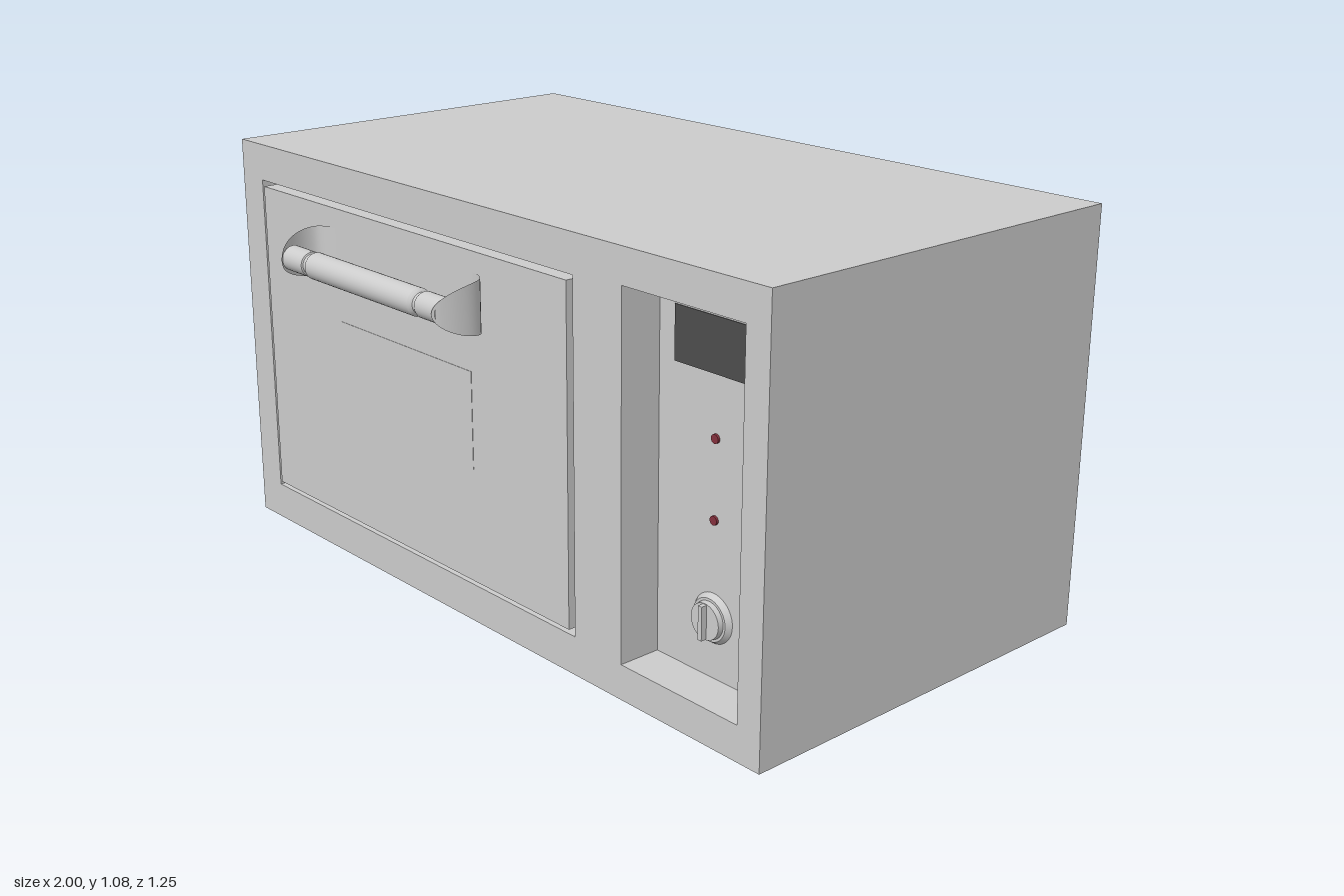
import * as THREE from 'three';

const mat = (color = 0xcccccc, side = THREE.FrontSide) => new THREE.MeshStandardMaterial({ color, side });
const grey = mat();

function add(parent, name, geometry, material = grey) {
  const mesh = new THREE.Mesh(geometry, material);
  mesh.name = name;
  parent.add(mesh);
  return mesh;
}

// Box given by its limits on each axis
function block(x0, x1, y0, y1, z0, z1) {
  return new THREE.BoxGeometry(x1 - x0, y1 - y0, z1 - z0)
    .translate((x0 + x1) / 2, (y0 + y1) / 2, (z0 + z1) / 2);
}

function rectangle(target, x0, x1, y0, y1) {
  target.moveTo(x0, y0).lineTo(x1, y0).lineTo(x1, y1).lineTo(x0, y1).closePath();
  return target;
}

// Disc or lathe whose axis points to the front
const forward = (geometry, x, y, z) => geometry.rotateX(Math.PI / 2).translate(x, y, z);

// Thin bowed sheet with a semi-elliptical outline, foot against the door
function bracketGeometry(centreX, side, y, z0, reach, halfHeight) {
  const bow = new THREE.CatmullRomCurve3([
    [0.29, 0], [0.318, 0.004], [0.345, 0.02], [0.354, 0.05], [0.349, 0.09], [0.335, 0.125], [0.322, reach],
  ].map(([x, z]) => new THREE.Vector3(x, 0, z)));
  const rows = 32, cols = 2;
  const geometry = new THREE.PlaneGeometry(1, 1, cols, rows);
  const pos = geometry.attributes.position;
  for (let i = 0; i < pos.count; i++) {
    const u = pos.getY(i) + 0.5;
    const p = bow.getPoint(Math.sin(u * Math.PI / 2));
    const t = Math.min(1, Math.max(0, p.z / reach));
    const h = halfHeight * Math.sqrt(1 - t * t);
    pos.setXYZ(i, centreX + side * p.x, y + pos.getX(i) * 2 * h, z0 + p.z);
  }
  geometry.computeVertexNormals();
  return geometry;
}

export function createModel() {
  const group = new THREE.Group();
  group.name = 'microwaveOven';
  const front = 0.475, recess = 0.362;

  // Cabinet and front frame with openings for the door and control panel
  add(group, 'cabinet', block(-1, 1, 0, 1.08, -0.625, recess));
  const frame = rectangle(new THREE.Shape(), -1, 1, 0, 1.08);
  frame.holes.push(
    rectangle(new THREE.Path(), -0.905, 0.392, 0.1, 0.982),
    rectangle(new THREE.Path(), 0.555, 0.93, 0.09, 0.992),
  );
  add(group, 'frontFrame', new THREE.ExtrudeGeometry(frame, { depth: front - recess, bevelEnabled: false })
    .translate(0, 0, recess));

  // Door with window
  const door = new THREE.Group();
  door.name = 'door';
  group.add(door);
  const doorFront = 0.481;
  add(door, 'doorPanel', block(-0.888, 0.377, 0.115, 0.968, recess, doorFront));
  add(door, 'window', block(-0.535, 0.02, 0.415, 0.667, doorFront - 0.01, doorFront + 0.001), mat(0xebebeb));

  // Handle: turned bar between two bowed brackets
  const handle = new THREE.Group();
  handle.name = 'handle';
  door.add(handle);
  const hx = -0.256, hy = 0.848;
  const half = [[0.22, 0.035], [0.226, 0.031], [0.23, 0.027], [0.241, 0.027], [0.243, 0.031], [0.247, 0.033], [0.328, 0.033], [0.328, 0]];
  const outline = [...half.map(([x, r]) => [-x, r]).reverse(), ...half];
  // Each section is turned separately to keep its edges crisp
  for (let i = 0; i < outline.length - 1; i++) {
    const points = [outline[i], outline[i + 1]].map(([x, r]) => new THREE.Vector2(r, x));
    add(handle, 'handleBar', new THREE.LatheGeometry(points, 32)
      .rotateZ(-Math.PI / 2).translate(hx, hy, 0.587));
  }
  const sheet = mat(0xcccccc, THREE.DoubleSide);
  for (const side of [-1, 1]) {
    add(handle, 'handleBracket', bracketGeometry(hx, side, hy, doorFront, 0.145, 0.068), sheet);
  }

  // Control panel: display, indicator lamps and dial
  const panel = new THREE.Group();
  panel.name = 'controlPanel';
  group.add(panel);
  const cx = 0.738;
  add(panel, 'display', block(0.605, 0.883, 0.812, 0.942, recess - 0.004, recess + 0.002), mat(0x4d4d4d));
  for (const y of [0.475, 0.666]) {
    add(panel, 'indicatorLamp', forward(new THREE.CylinderGeometry(0.011, 0.011, 0.008, 20), cx, y, recess + 0.002), mat(0x84303c));
  }
  const ky = 0.238;
  add(panel, 'dialBase', forward(new THREE.CylinderGeometry(0.052, 0.061, 0.014, 40), cx, ky, recess + 0.007));
  add(panel, 'dial', forward(new THREE.CylinderGeometry(0.044, 0.046, 0.014, 40), cx, ky, recess + 0.02));
  add(panel, 'dialGrip', block(cx - 0.006, cx + 0.006, ky - 0.042, ky + 0.042, recess + 0.02, recess + 0.042));

  return group;
}
